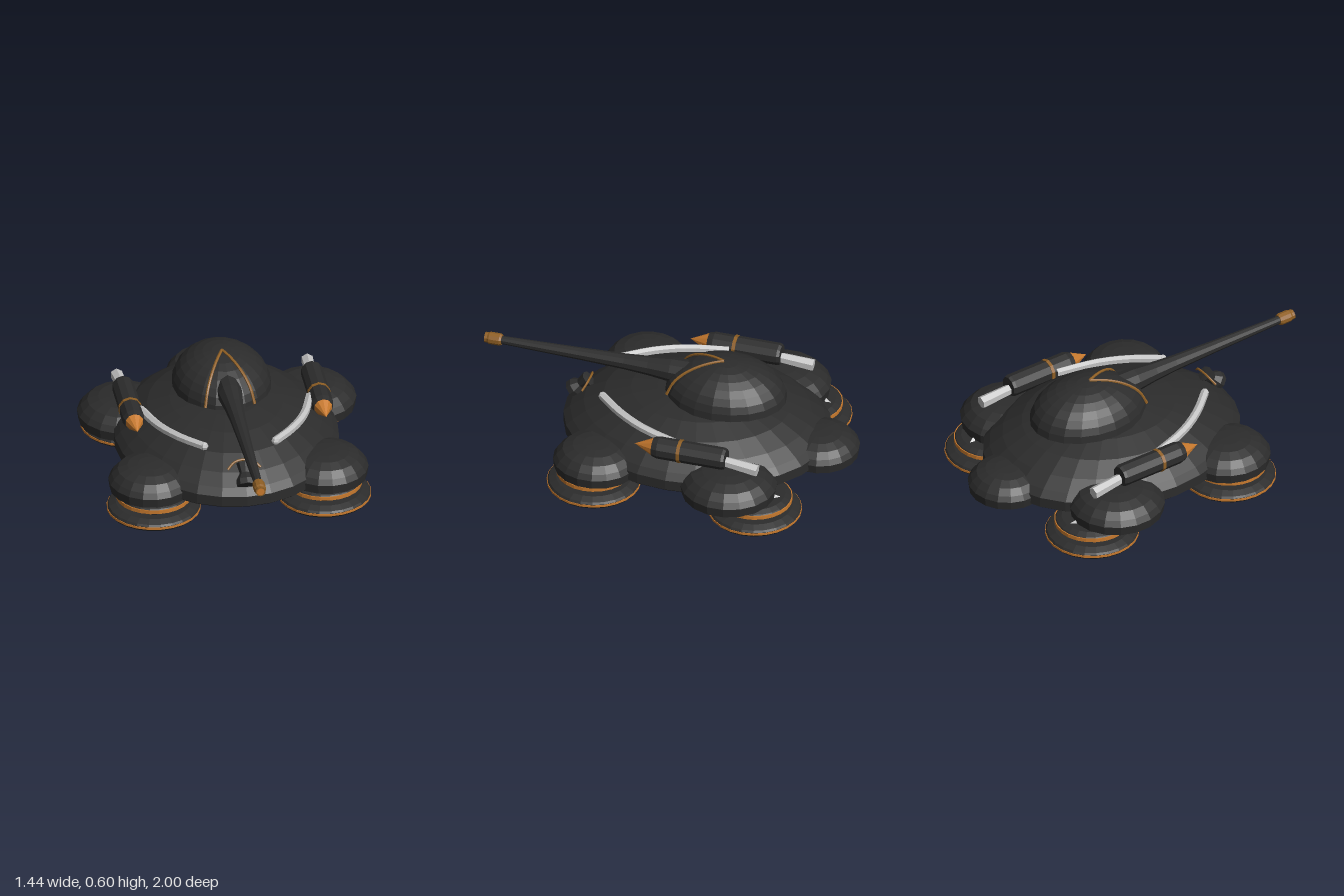
import * as THREE from 'three';

const mat = (name, color, side = THREE.FrontSide) =>
  new THREE.MeshStandardMaterial({ name, color, side, flatShading: true });

export function createModel() {
  const model = new THREE.Group();
  model.name = 'hoverTank';
  const black = mat('black armour', 0x2c2c2c);
  const copper = mat('copper', 0xc87a2e);
  const bronze = mat('dark bronze', 0x8f5f24);
  const silver = mat('silver', 0xc4c4c4, THREE.DoubleSide);

  const add = (name, geometry, material, parent = model) => {
    const mesh = new THREE.Mesh(geometry, material);
    mesh.name = name;
    parent.add(mesh);
    return mesh;
  };
  // Profiles are [radius, height] pairs from bottom to top
  const lathe = (profile, sides) =>
    new THREE.LatheGeometry(profile.map(([r, y]) => new THREE.Vector2(r, y)), sides);
  // Same, turned so the axis runs along z
  const latheZ = (profile, sides) => lathe(profile, sides).rotateX(Math.PI / 2);
  const tube = (points, radius, sides = 6, steps = 16) =>
    new THREE.TubeGeometry(
      new THREE.CatmullRomCurve3(points.map((p) => new THREE.Vector3(...p))), steps, radius, sides);

  // Oval saucer hull
  add('hull', lathe([
    [0, 0.065], [0.5, 0.088], [0.85, 0.115], [0.97, 0.135], [1, 0.15], [1, 0.205], [0.95, 0.24],
    [0.85, 0.29], [0.7, 0.345], [0.5, 0.388], [0.3, 0.412], [0, 0.42],
  ], 28).scale(0.577, 1, 0.7).translate(0, 0, -0.14), black);

  // Turret dome
  const dome = { x: 0.255, y: 0.197, z: 0.32, base: 0.398, cz: -0.29 };
  const domeProfile = [[0, 0], [0.97, 0]];
  for (let i = 0; i <= 8; i++) {
    const a = (i / 8) * Math.PI / 2;
    domeProfile.push([i === 8 ? 0 : Math.cos(a), Math.sin(a)]);
  }
  add('turretDome', lathe(domeProfile, 20).scale(dome.x, dome.y, dome.z)
    .translate(0, dome.base, dome.cz), black);

  // Gun barrel and muzzle
  add('gunBarrel', latheZ([
    [0, -0.2], [0.06, -0.18], [0.066, -0.1], [0.064, 0], [0.05, 0.12], [0.041, 0.25],
    [0.032, 0.5], [0.021, 0.92], [0, 0.92],
  ], 10).translate(0, 0.487, 0), black);
  add('muzzle', latheZ([
    [0, 0.91], [0.027, 0.91], [0.032, 0.92], [0.032, 0.975], [0.027, 0.985], [0.027, 1], [0, 1],
  ], 10).translate(0, 0.487, 0), bronze);
  add('muzzleBore', new THREE.CircleGeometry(0.02, 10).translate(0, 0.487, 1.001), copper);

  // Nose sensor with brow arc
  const nose = add('noseSensor', lathe([
    [0, -0.065], [0.05, -0.06], [0.05, -0.03], [0.028, 0.005], [0.04, 0.06], [0, 0.065],
  ], 8), black);
  nose.position.set(0, 0.3, 0.49);
  nose.rotation.x = -0.8;
  add('noseBrow', tube([
    [-0.085, 0.315, 0.457], [-0.05, 0.345, 0.44], [0, 0.355, 0.435],
    [0.05, 0.345, 0.44], [0.085, 0.315, 0.457],
  ], 0.006), bronze);

  // Armour pod: low skirt with a broad dome, unit radius
  const pod = (name, x, z, rx, rz, top = 0.283) => {
    const h = top - 0.138;
    add(name, lathe([
      [0, 0], [0.97, 0], [1, 0.35], [0.92, 0.55], [0.78, 0.78], [0.55, 0.92], [0.3, 0.98], [0, 1],
    ], 18).scale(rx, h, rz).translate(x, 0.138, z), black);
  };
  pod('rearPod', 0, -0.8, 0.205, 0.2, 0.272);

  // Hover disc: bevelled plate with a copper rim band
  const hoverDisc = (name, r, y, h, band, parent) => {
    add(name, lathe([
      [0, y], [r * 0.82, y], [r * 0.97, y + h * 0.22], [r, y + h * 0.38],
      [r, y + h * 0.62], [r * 0.97, y + h * 0.78], [r * 0.82, y + h], [0, y + h],
    ], 24), black, parent);
    add(name + 'Band', lathe([
      [r * 0.97, y + h / 2 - band], [r + 0.003, y + h / 2 - band],
      [r + 0.003, y + h / 2 + band], [r * 0.97, y + h / 2 + band],
    ], 24), copper, parent);
  };

  for (const s of [1, -1]) {
    const side = s > 0 ? 'left' : 'right';
    pod(side + 'FrontPod', s * 0.455, 0.265, 0.218, 0.225, 0.28);
    pod(side + 'RearPod', s * 0.48, -0.45, 0.243, 0.25);

    // Two stacked discs under each corner
    for (const [end, z] of [['Front', 0.283], ['Rear', -0.58]]) {
      const hover = new THREE.Group();
      hover.name = side + end + 'Hover';
      hover.position.set(s * 0.443, 0, z);
      model.add(hover);
      hoverDisc('lowerDisc', 0.239, 0.004, 0.064, 0.006, hover);
      hoverDisc('upperDisc', 0.191, 0.078, 0.055, 0.01, hover);
      add('thrustPlate', new THREE.CylinderGeometry(0.12, 0.12, 0.006, 20)
        .translate(0, 0.003, 0), copper, hover);
    }
    add(side + 'Strut', tube([[s * 0.42, 0.095, -0.765], [s * 0.47, 0.16, -0.64]], 0.012, 4, 1), silver);

    // Side missile with tip, ring and tail
    const missile = new THREE.Group();
    missile.name = side + 'Missile';
    missile.position.set(s * 0.49, 0.343, 0);
    model.add(missile);
    add('missileBody', latheZ([
      [0, -0.44], [0.052, -0.44], [0.058, -0.425], [0.058, -0.08], [0.05, -0.05], [0, -0.05],
    ], 10), black, missile);
    add('missileTip', latheZ([[0, -0.06], [0.052, -0.06], [0, 0.05]], 10), copper, missile);
    add('missileRing', new THREE.CylinderGeometry(0.061, 0.061, 0.018, 10)
      .rotateX(Math.PI / 2).translate(0, 0, -0.195), bronze, missile);
    const tail = add('missileTail', new THREE.CylinderGeometry(0.026, 0.033, 0.24, 6)
      .rotateX(Math.PI / 2), silver, missile);
    tail.position.set(0, -0.023, -0.49);
    tail.rotation.x = -0.1;
    tail.rotation.y = s * -0.04;

    // Curved rail on the hull, thick at the nose end
    const rail = [[0.185, 0.382, 0.315], [0.29, 0.373, 0.19], [0.375, 0.362, 0.04], [0.44, 0.348, -0.17]];
    add(side + 'Rail', tube(rail.map(([x, y, z]) => [s * x, y, z]), 0.022, 6, 10), silver);
    rail.slice(0, 1).forEach(([x, y, z]) =>
      add(side + 'RailCap', new THREE.SphereGeometry(0.022, 6, 4).translate(s * x, y, z), silver));

    // Trim line running down the dome from its crown
    const trim = [];
    for (let i = 0; i <= 8; i++) {
      const x = 0.128 * i / 8, z = -0.28 + 0.27 * i / 8;
      const q = (x / dome.x) ** 2 + ((z - dome.cz) / dome.z) ** 2;
      trim.push([s * x, dome.base + dome.y * Math.sqrt(Math.max(0.01, 1 - q)) + 0.001, z]);
    }
    add(side + 'DomeTrim', tube(trim, 0.008), bronze);
  }
  return model;
}
